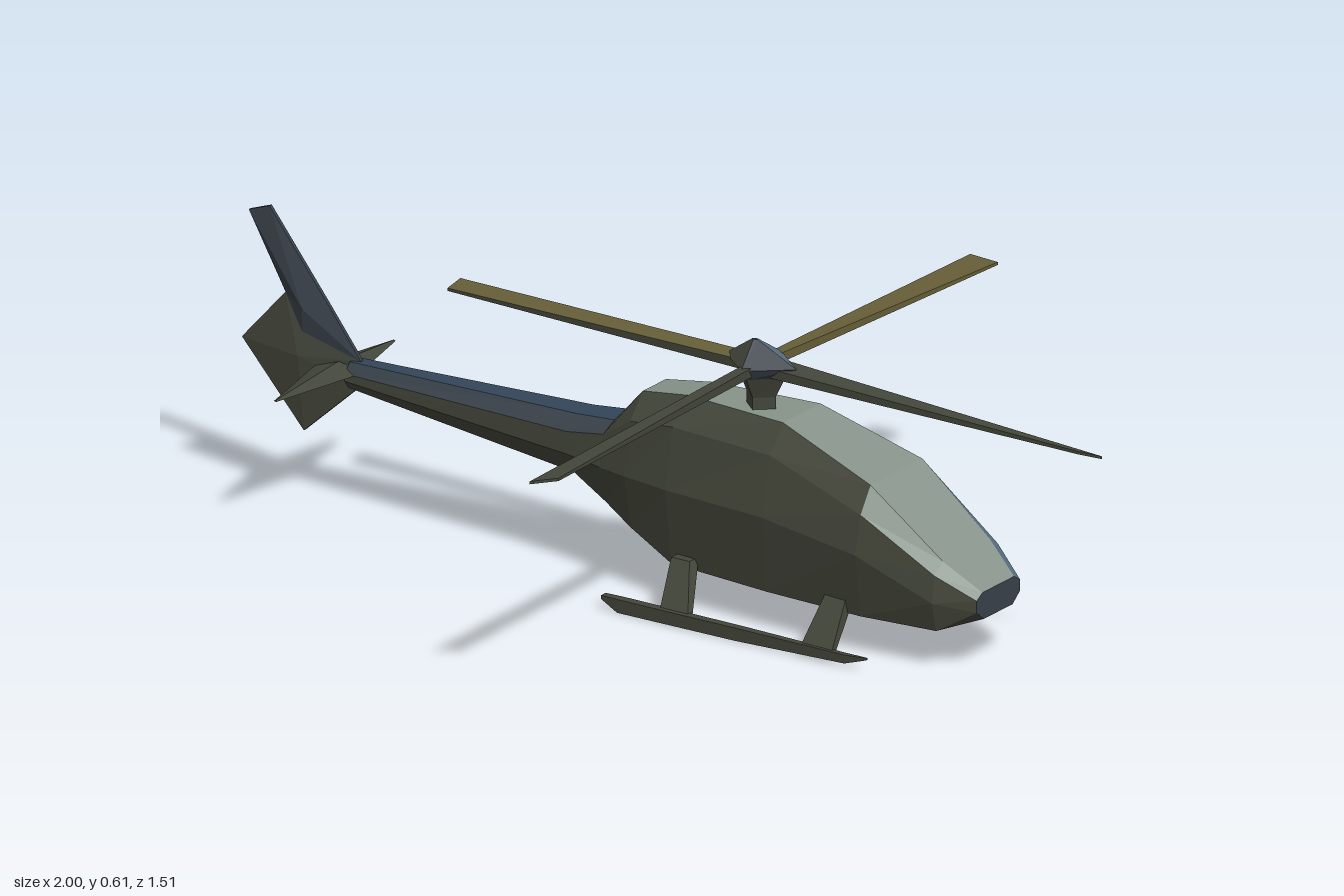
import * as THREE from 'three';

const paint = (name, color) => {
  const m = new THREE.MeshStandardMaterial({ color, flatShading: true });
  m.name = name;
  return m;
};

export function createModel() {
  const model = new THREE.Group();
  model.name = 'helicopter';
  const mats = [
    paint('olive', 0x43463a), paint('glassGrey', 0x87938a), paint('steelBlue', 0x587083),
    paint('darkBlue', 0x34465a), paint('indigo', 0x2a3562), paint('khaki', 0x665e38), paint('slate', 0x394149),
  ];
  const [OLIVE, GLASS, STEEL, BLUE, INDIGO, KHAKI, SLATE] = mats.keys();

  // Skins equal-sized point rings; pick(column, segment) gives the colour, column -1 is a cap
  function loft(name, rings, pick) {
    const faces = mats.map(() => []);
    const n = rings[0].length, last = rings.length - 1;
    const add = (c, a, b, d) => faces[c].push([a, b, d]);
    for (let s = 0; s < last; s++) for (let i = 0; i < n; i++) {
      const j = (i + 1) % n, A = rings[s], B = rings[s + 1], c = pick(i, s);
      add(c, A[i], B[i], B[j]);
      add(c, A[i], B[j], A[j]);
    }
    for (let i = 1; i < n - 1; i++) {
      add(pick(-1, 0), rings[0][0], rings[0][i], rings[0][i + 1]);
      add(pick(-1, last), rings[last][0], rings[last][i + 1], rings[last][i]);
    }
    // Turn the faces outward whatever the direction of the rings
    const o = new THREE.Vector3(...rings[0][0]);
    const v = (p) => new THREE.Vector3(...p).sub(o);
    let volume = 0;
    faces.flat().forEach(([a, b, c]) => { volume += v(a).dot(v(b).cross(v(c))); });
    const geo = new THREE.BufferGeometry(), pos = [];
    faces.forEach((list, m) => {
      if (!list.length) return;
      geo.addGroup(pos.length / 3, list.length * 3, m);
      list.forEach(([a, b, c]) => pos.push(...a, ...(volume < 0 ? [...c, ...b] : [...b, ...c])));
    });
    geo.setAttribute('position', new THREE.Float32BufferAttribute(pos, 3));
    geo.computeVertexNormals();
    const mesh = new THREE.Mesh(geo, mats);
    mesh.name = name;
    model.add(mesh);
  }

  // Fuselage and boom: x, centre z, then height and half width of floor, waist, shoulder, roof
  const sections = [
    [-0.76, -0.015, 0.262, 0.02, 0.28, 0.034, 0.295, 0.032, 0.315, 0.015],
    [-0.21, -0.02, 0.207, 0.04, 0.255, 0.07, 0.3, 0.065, 0.327, 0.03],
    [-0.12, -0.025, 0.17, 0.065, 0.25, 0.088, 0.315, 0.075, 0.333, 0.035],
    [-0.05, -0.027, 0.138, 0.085, 0.25, 0.105, 0.36, 0.085, 0.41, 0.04],
    [0.06, -0.03, 0.09, 0.105, 0.25, 0.125, 0.375, 0.1, 0.425, 0.045],
    [0.3, -0.03, 0.087, 0.122, 0.25, 0.143, 0.37, 0.11, 0.425, 0.065],
    [0.53, -0.025, 0.087, 0.125, 0.22, 0.143, 0.3, 0.125, 0.352, 0.09],
    [0.7, -0.02, 0.088, 0.105, 0.15, 0.12, 0.205, 0.11, 0.226, 0.08],
    [0.78, -0.015, 0.115, 0.05, 0.135, 0.075, 0.16, 0.075, 0.172, 0.055],
  ];
  const hull = sections.map(([x, cz, ...p]) => {
    const left = [0, 2, 4, 6].map((k) => [x, p[k], cz + p[k + 1]]);
    return [...left, ...left.map(([a, y, z]) => [a, y, 2 * cz - z]).reverse()];
  });
  loft('fuselage', hull, (col, seg) => {
    if (col === -1) return SLATE;
    if (col === 2) return seg > 5 ? GLASS : seg < 2 ? SLATE : OLIVE;
    if (col === 3) return seg > 2 ? GLASS : seg === 2 ? STEEL : BLUE;
    if (col === 4) return seg > 1 ? STEEL : BLUE;
    if (col === 5) return seg < 2 ? INDIGO : seg === 5 ? STEEL : BLUE;
    if (col === 6) return seg < 3 ? INDIGO : seg === 7 ? KHAKI : BLUE;
    return OLIVE;
  });

  // Tail fins: flat outlines in x, y, thick on the ridge and thin at the rim
  function fin(name, outline, ridge, pick) {
    const z = (x) => -0.015 - (x + 0.74) * 0.14;
    const centre = (s) => outline.map(() => [ridge[0], ridge[1], z(ridge[0]) + s * 0.018]);
    const rim = (s) => outline.map(([x, y]) => [x, y, z(x) + s * 0.004]);
    loft(name, [centre(1), rim(1), rim(-1), centre(-1)], pick);
  }
  fin('lowerFin', [[-0.74, 0.315], [-0.74, 0.265], [-0.865, 0.15], [-1, 0.325], [-0.905, 0.435]],
    [-0.87, 0.31], (col, side) => (side === 2 && col !== 1 && col !== 2 ? KHAKI : OLIVE));
  fin('upperFin', [[-0.74, 0.315], [-0.87, 0.32], [-0.905, 0.435], [-0.985, 0.595], [-0.94, 0.61], [-0.81, 0.42]],
    [-0.86, 0.41], (col, side) => (side === 2 ? KHAKI : SLATE));

  // Tailplane: a diamond with pointed tips
  const tailSlice = (z, w, h) => [[-0.785 - w, 0.295, z], [-0.785, 0.295 + h, z], [-0.785 + w, 0.295, z], [-0.785, 0.295 - h, z]];
  loft('tailplane', [tailSlice(-0.19, 0.004, 0.002), tailSlice(0.01, 0.05, 0.016), tailSlice(0.22, 0.004, 0.002)],
    () => OLIVE);

  // Rotor mast and faceted hub
  const square = (y, w, d, x = 0.21) => [[x - w, y, -0.02], [x, y, -0.02 + d], [x + w, y, -0.02], [x, y, -0.02 - d]];
  loft('rotorMast', [square(0.41, 0.035, 0.03), square(0.45, 0.035, 0.03), square(0.5, 0.06, 0.055)],
    (col) => (col === 2 || col === 3 ? BLUE : OLIVE));
  loft('rotorHub', [square(0.495, 0.055, 0.055), square(0.518, 0.085, 0.07), square(0.562, 0.006, 0.006, 0.195)],
    (col, seg) => (col === 0 ? OLIVE : col === 2 && seg === 1 ? STEEL : SLATE));

  // Rotor blades: root and tip edges as pairs of points; colours of top, second edge, underside, first edge
  function blade(root, tip, colours) {
    const slice = ([a, b], h) => [a, b, ...[b, a].map(([x, y, z]) => [x, y - h, z])];
    loft('rotorBlade', [slice(root, 0.02), slice(tip, 0.006)], (col) => (col < 0 ? OLIVE : colours[col]));
  }
  blade([[0.22, 0.523, -0.045], [0.22, 0.518, 0.005]], [[1, 0.476, -0.056], [0.95, 0.479, -0.045]],
    [OLIVE, OLIVE, OLIVE, GLASS]);
  blade([[0.2, 0.528, -0.03], [0.2, 0.52, 0]], [[-0.54, 0.518, -0.065], [-0.54, 0.511, -0.02]],
    [KHAKI, OLIVE, OLIVE, OLIVE]);
  blade([[0.2, 0.523, -0.04], [0.222, 0.523, -0.04]], [[0.2, 0.511, -0.76], [0.266, 0.508, -0.76]],
    [KHAKI, KHAKI, OLIVE, OLIVE]);
  blade([[0.2, 0.523, 0], [0.222, 0.523, 0]], [[0.187, 0.5, 0.75], [0.228, 0.503, 0.71]],
    [OLIVE, OLIVE, OLIVE, OLIVE]);

  // Landing gear, mirrored about the hull's own centre line
  for (const side of [1, -1]) {
    const z = (d) => -0.02 + side * d;
    const ski = (x, y0, y1, w) => [[x, y0, z(0.185 - w)], [x, y1, z(0.185 - w)], [x, y1, z(0.185 + w)], [x, y0, z(0.185 + w)]];
    loft('skid', [ski(-0.04, 0.024, 0.032, 0.008), ski(0, 0.004, 0.032, 0.01), ski(0.28, 0.005, 0.032, 0.009),
      ski(0.54, 0.012, 0.03, 0.006), ski(0.59, 0.028, 0.032, 0.002)], () => OLIVE);
    for (const [foot, top, w] of [[0.13, 0.1, 0.022], [0.47, 0.47, 0.025]]) {
      const cut = (x, y, d, hw, t) => [[x - hw, y, z(d - t)], [x + hw, y, z(d - t)], [x + hw, y, z(d + t)], [x - hw, y, z(d + t)]];
      loft('skidStrut', [cut(foot, 0.025, 0.18, w + 0.012, 0.008), cut(top, 0.115, 0.105, w, 0.016)],
        (col) => (side < 0 && col === 1 ? KHAKI : OLIVE));
    }
  }
  return model;
}
